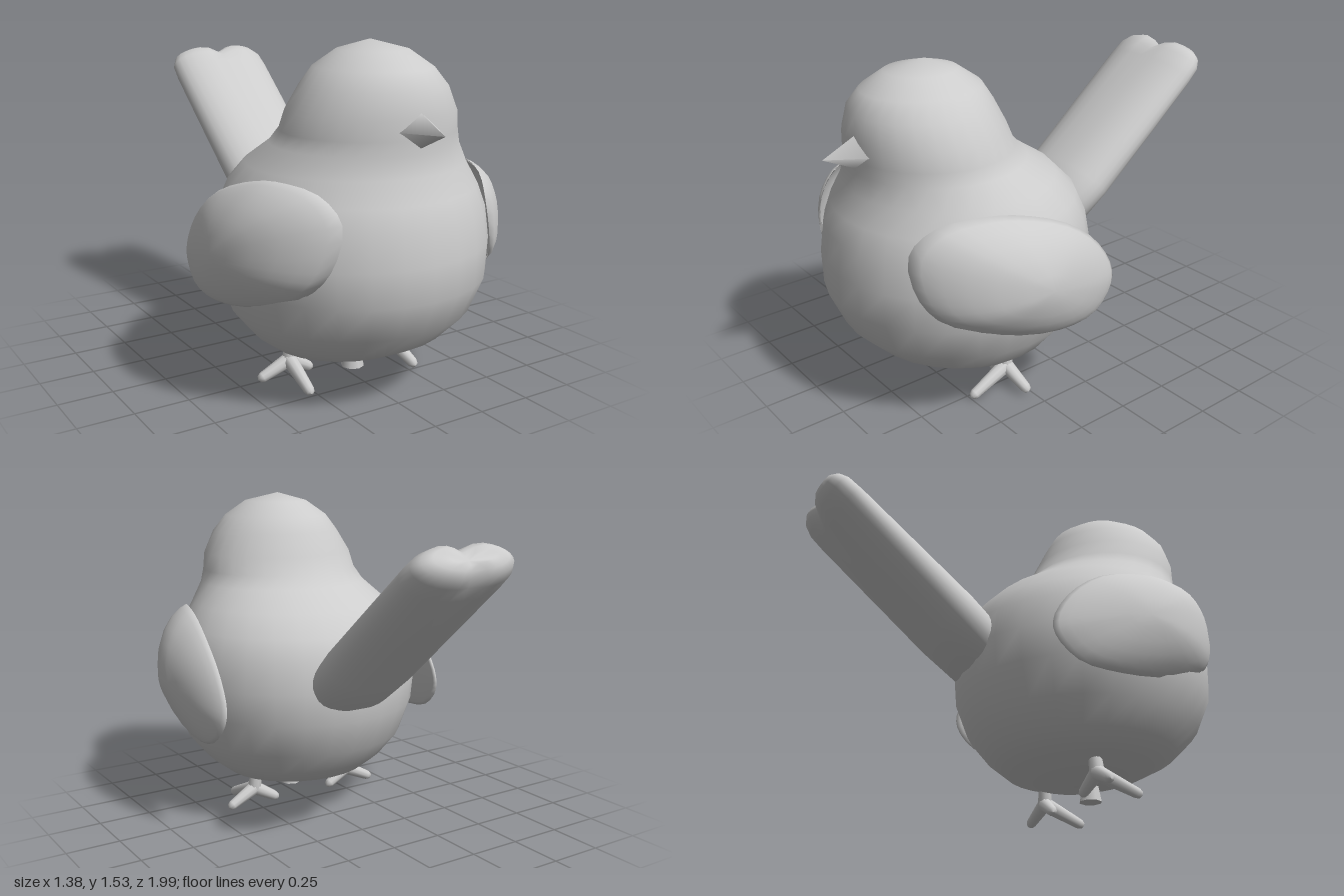
import * as THREE from 'three';
import { mergeVertices } from 'three/addons/utils/BufferGeometryUtils.js';

const V = (x, y, z) => new THREE.Vector3(x, y, z);

// Smooth closed skin over a list of rings (each ring has the same point count)
function loft(rings) {
  const n = rings[0].length, index = [];
  for (let i = 0; i < rings.length - 1; i++) {
    for (let j = 0; j < n; j++) {
      const a = i * n + j, b = i * n + (j + 1) % n, c = a + n, d = b + n;
      index.push(a, c, b, b, c, d);
    }
  }
  let geo = new THREE.BufferGeometry().setFromPoints(rings.flat());
  geo.setIndex(index);
  geo = mergeVertices(geo, 1e-5);
  geo.computeVertexNormals();
  return geo;
}

const loop = (n, fn) => Array.from({ length: n }, (_, j) => fn((j / n) * Math.PI * 2, j));

function bodyGeometry() {
  // height, half width, front z, back z
  const rows = [
    [0.12, 0, 0.33, 0.33], [0.13, 0.17, 0.47, 0.18], [0.19, 0.36, 0.66, 0.01],
    [0.26, 0.45, 0.79, -0.08], [0.37, 0.54, 0.9, -0.17], [0.53, 0.595, 0.97, -0.23],
    [0.68, 0.61, 0.97, -0.24], [0.82, 0.59, 0.95, -0.215], [0.92, 0.55, 0.915, -0.17],
    [1.02, 0.485, 0.865, -0.07], [1.11, 0.41, 0.855, 0.07], [1.17, 0.385, 0.855, 0.13],
    [1.25, 0.37, 0.855, 0.165], [1.355, 0.31, 0.84, 0.215], [1.43, 0.25, 0.785, 0.26],
    [1.5, 0.15, 0.68, 0.36], [1.54, 0, 0.5, 0.5],
  ];
  return loft(rows.map(([y, w, f, b]) =>
    loop(28, (a) => V(Math.cos(a) * w, y, (f + b) / 2 + Math.sin(a) * (f - b) / 2))));
}

function wingGeometry() {
  // rim of the left wing, from the front over the top to the rear tip
  const rim = new THREE.CatmullRomCurve3([
    V(0.36, 0.87, 0.845), V(0.4, 0.97, 0.755), V(0.47, 1.0, 0.57), V(0.51, 0.98, 0.41),
    V(0.56, 0.9, 0.19), V(0.58, 0.77, 0.03), V(0.59, 0.63, -0.05), V(0.6, 0.55, -0.04),
    V(0.61, 0.455, 0.06), V(0.605, 0.433, 0.25), V(0.55, 0.476, 0.51),
    V(0.46, 0.58, 0.755), V(0.4, 0.695, 0.835),
  ], true).getPoints(36).slice(0, 36);
  const ring = (r, x) => rim.map((p) => V(
    p.x + (x - p.x) * Math.pow(1 - r * r, 0.75),
    0.69 + (p.y - 0.69) * r,
    0.36 + (p.z - 0.36) * r));
  const steps = [0, 0.25, 0.5, 0.7, 0.85, 0.95];
  return loft([
    ...steps.map((r) => ring(r, 0.56)),
    ring(1, 0.6),
    ...steps.slice().reverse().map((r) => ring(r, 0.69)),
  ]);
}

function tailGeometry() {
  const start = V(0, 0.64, -0.1), end = V(0, 1.365, -0.965);
  const dir = end.clone().sub(start), length = dir.length();
  dir.normalize();
  const up = V(1, 0, 0).cross(dir);
  // distance along, half width, half thickness
  const rows = [
    [0, 0, 0], [0, 0.22, 0.12], [0.25, 0.245, 0.13], [0.6, 0.255, 0.115], [0.86, 0.26, 0.105],
    [0.93, 0.255, 0.1], [0.97, 0.23, 0.085], [0.992, 0.19, 0.06], [1, 0.12, 0.03], [1, 0, 0],
  ];
  return loft(rows.map(([s, w, h]) => loop(28, (a) => {
    const c = Math.cos(a), q = Math.sin(a);
    const x = w * Math.sign(c) * Math.pow(Math.abs(c), 0.85);
    // shallow notch splits the tip into two lobes
    const notch = Math.exp(-((x / 0.05) ** 2)) * THREE.MathUtils.smoothstep(s, 0.84, 1);
    return start.clone()
      .addScaledVector(dir, s * length - 0.035 * notch)
      .addScaledVector(up, h * q * (1 - 0.3 * notch))
      .add(V(x, 0, 0));
  })));
}

// Tapered limb with a rounded end
function limb(from, to, r0, r1) {
  const dir = to.clone().sub(from), len = dir.length();
  const profile = [[0, -r0 * 0.7], [r0 * 0.8, -r0 * 0.4], [r0, 0], [r1, len - r1],
    [r1 * 0.7, len - r1 * 0.3], [0, len]].map(([x, y]) => new THREE.Vector2(x, y));
  const geo = new THREE.LatheGeometry(profile, 10);
  geo.applyQuaternion(new THREE.Quaternion().setFromUnitVectors(V(0, 1, 0), dir.normalize()));
  return geo.translate(from.x, from.y, from.z);
}

export function createModel() {
  const model = new THREE.Group();
  model.name = 'bird';
  const grey = new THREE.MeshStandardMaterial({ color: 0xcccccc });
  grey.name = 'light grey';
  const add = (parent, name, geo) => {
    const mesh = new THREE.Mesh(geo, grey);
    mesh.name = name;
    parent.add(mesh);
    return mesh;
  };

  add(model, 'bodyAndHead', bodyGeometry());
  add(model, 'tail', tailGeometry());

  // Four-sided beak, wider than tall
  const beak = new THREE.ConeGeometry(1, 0.18, 4);
  beak.rotateX(Math.PI / 2).scale(0.112, 0.085, 1).translate(0, 1.205, 0.91);
  add(model, 'beak', beak);

  // Short peg under the belly
  const peg = new THREE.CylinderGeometry(0.035, 0.053, 0.1, 8);
  add(model, 'bellyPeg', peg.translate(0, 0.105, 0.4));

  // Wings and feet, built on the left and mirrored to the right
  for (const [side, sign] of [['left', 1], ['right', -1]]) {
    const half = new THREE.Group();
    half.name = side + 'Side';
    half.scale.x = sign;
    model.add(half);
    add(half, side + 'Wing', wingGeometry());

    const foot = new THREE.Group();
    foot.name = side + 'Foot';
    half.add(foot);
    const ankle = V(0.273, 0.105, 0.295);
    add(foot, 'leg', limb(ankle, V(0.255, 0.24, 0.29), 0.034, 0.028));
    add(foot, 'frontToe', limb(ankle, V(0.285, 0.022, 0.505), 0.036, 0.024));
    add(foot, 'outerToe', limb(ankle, V(0.425, 0.033, 0.28), 0.034, 0.024));
    add(foot, 'innerToe', limb(ankle, V(0.145, 0.033, 0.28), 0.034, 0.024));
  }
  return model;
}
